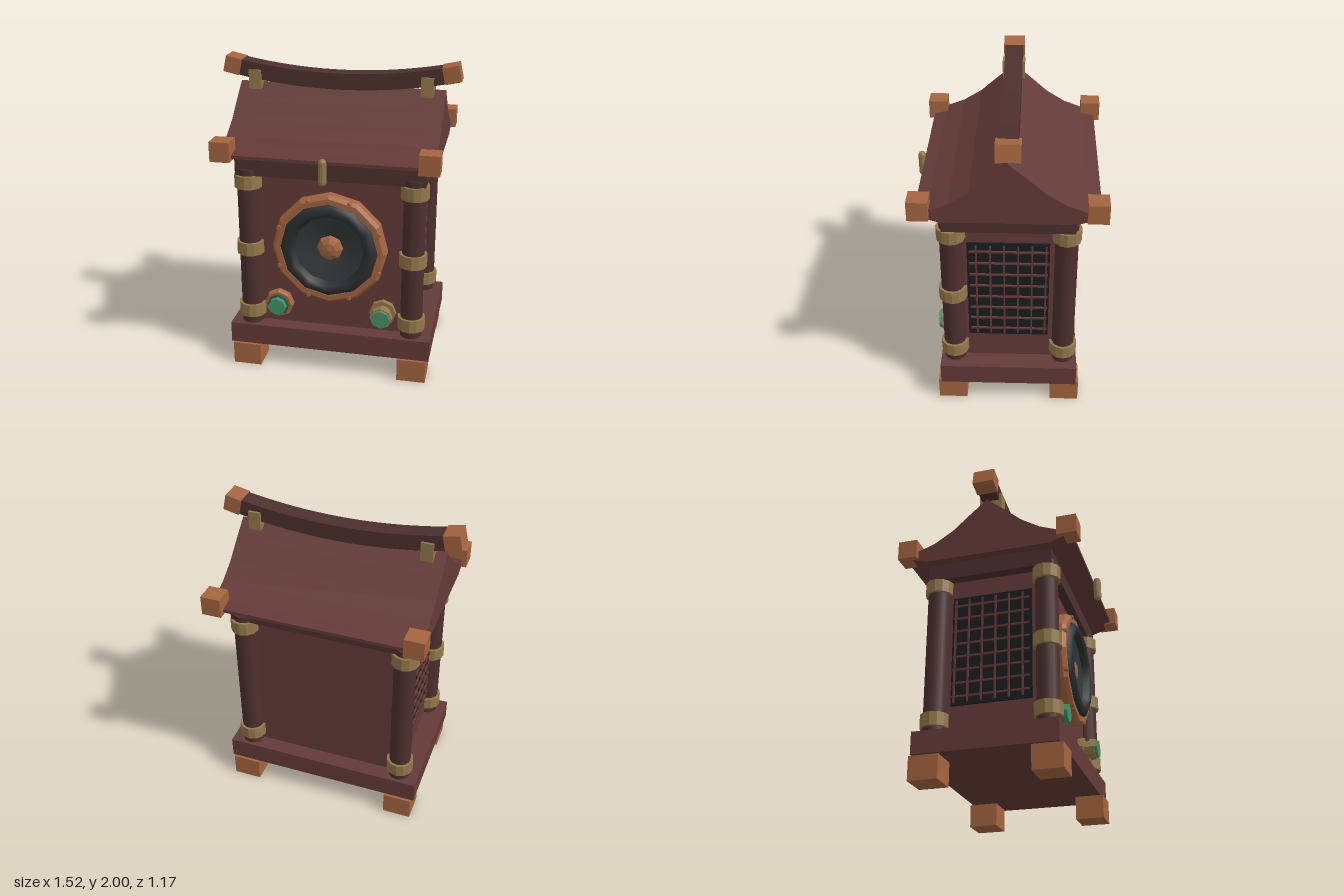
import * as THREE from 'three';

const mat = (color, flat = true) => new THREE.MeshStandardMaterial({ color, flatShading: flat });
const WOOD = mat(0x643b39), DARK = mat(0x4c302f), COPPER = mat(0xa5653f), GOLD = mat(0x94794a);
const BLACK = mat(0x1b1d1e), RUBBER = mat(0x2b2f31, false), CONE = mat(0x34393b, false);
const GREEN = mat(0x3f9468), DEEP_GREEN = mat(0x2b5c48);

export function createModel() {
  const root = new THREE.Group();
  root.name = 'shrineSpeaker';
  const body = new THREE.Group();
  body.name = 'cabinet';
  body.position.z = -0.006;
  root.add(body);

  const add = (name, geo, material, x = 0, y = 0, z = 0, parent = body) => {
    const m = new THREE.Mesh(geo, material);
    m.name = name;
    m.position.set(x, y, z);
    parent.add(m);
    return m;
  };
  const box = (name, w, h, d, material, x, y, z, parent) =>
    add(name, new THREE.BoxGeometry(w, h, d), material, x, y, z, parent);
  // disc facing +z, from depth z0 to z1 with front radius r1
  const disc = (name, r0, r1, z0, z1, sides, material, x, y, parent) => {
    const g = new THREE.CylinderGeometry(r1, r0, z1 - z0, sides).rotateX(Math.PI / 2);
    return add(name, g, material, x, y, (z0 + z1) / 2, parent);
  };
  // revolved profile facing +z
  const turned = (name, pts, sides, material, z, parent) => {
    const g = new THREE.LatheGeometry(pts.map(p => new THREE.Vector2(...p)), sides).rotateX(Math.PI / 2);
    return add(name, g, material, 0, 0, z, parent);
  };

  // Plinth, walls and top beam
  box('base', 1.32, 0.14, 0.885, WOOD, 0, 0.22, 0);
  box('walls', 1.06, 1.04, 0.68, WOOD, 0, 0.81, 0);
  box('topBeam', 1.2, 0.11, 0.8, DARK, 0, 1.375, 0);

  // Feet, columns with bands, and eave blocks at the four corners
  for (const sx of [-1, 1]) for (const sz of [-1, 1]) {
    box('foot', 0.185, 0.15, 0.185, COPPER, sx * 0.55, 0.075, sz * 0.368);
    add('column', new THREE.CylinderGeometry(0.071, 0.071, 1.07, 16), mat(0x4c302f, false), sx * 0.53, 0.825, sz * 0.351);
    for (const y of sz > 0 ? [0.383, 0.825, 1.278] : [0.383, 1.278])
      add('columnBand', new THREE.CylinderGeometry(0.089, 0.089, 0.085, 12), GOLD, sx * 0.53, y, sz * 0.351);
    box('eaveBlock', 0.125, 0.125, 0.125, COPPER, sx * 0.632, 1.522, sz * 0.52);
  }

  // Roof: flared gable profile run along x
  const half = [[0.115, 1.73], [0.225, 1.632], [0.345, 1.557], [0.47, 1.51], [0.545, 1.495], [0.545, 1.475], [0.4, 1.43]];
  const profile = [[0, 1.828], ...half, ...half.slice().reverse().map(([z, y]) => [-z, y])];
  const roofShape = new THREE.Shape(profile.map(([z, y]) => new THREE.Vector2(z, y)));
  const roofGeo = new THREE.ExtrudeGeometry(roofShape, { depth: 1.32, bevelEnabled: false });
  roofGeo.translate(0, 0, -0.66).rotateY(Math.PI / 2);
  add('roof', roofGeo, WOOD);

  // Sagging ridge beam with end blocks and clamps
  const sag = x => 1.862 + 0.151 * x * x;
  const ridgeGeo = new THREE.BoxGeometry(1.36, 0.102, 0.115, 20, 1, 1);
  const p = ridgeGeo.attributes.position;
  for (let i = 0; i < p.count; i++) p.setY(i, p.getY(i) + sag(p.getX(i)));
  ridgeGeo.computeVertexNormals();
  add('ridgeBeam', ridgeGeo, DARK);
  for (const s of [-1, 1]) {
    box('ridgeEndBlock', 0.104, 0.104, 0.137, COPPER, s * 0.697, 1.937, 0).rotation.z = s * 0.22;
    box('ridgeClamp', 0.078, 0.122, 0.147, GOLD, s * 0.55, 1.853, 0);
  }

  // Hanging pull at the front eave
  add('hangingPull', new THREE.CapsuleGeometry(0.025, 0.12, 4, 10), GOLD, 0, 1.435, 0.568);

  // Side lattices
  for (const s of [-1, 1]) {
    const grille = new THREE.Group();
    grille.name = 'sideGrille';
    body.add(grille);
    box('grillePanel', 0.02, 0.725, 0.508, BLACK, s * 0.53, 0.837, 0.003, grille);
    for (let i = 0; i < 6; i++)
      box('grilleUpright', 0.014, 0.69, 0.011, WOOD, s * 0.544, 0.837, 0.2 - i * 0.086, grille);
    for (let i = 0; i < 8; i++)
      box('grilleCrossbar', 0.014, 0.011, 0.485, WOOD, s * 0.544, 0.53 + i * 0.087, 0, grille);
  }

  // Round driver on the front
  const driver = new THREE.Group();
  driver.name = 'driver';
  driver.position.set(0, 0.86, 0.34);
  body.add(driver);
  turned('driverRim', [[0.37, -0.01], [0.37, 0.055], [0.35, 0.078], [0.315, 0.078], [0.315, -0.01]], 12, COPPER, 0, driver);
  turned('driverSurround', [[0.318, 0.06], [0.305, 0.09], [0.27, 0.11], [0.24, 0.095], [0.222, 0.055]], 12, RUBBER, 0, driver);
  turned('driverCone', [[0.225, 0.06], [0.07, 0.02]], 12, CONE, 0, driver);
  turned('dustCap', [[0.088, 0.015], [0.075, 0.05], [0.045, 0.068], [0, 0.075]], 8, COPPER, 0, driver);
  for (let i = 0; i < 8; i++) {
    const a = Math.PI / 8 + i * Math.PI / 4;
    disc('rimStud', 0.018, 0.015, 0.05, 0.084, 6, COPPER, 0.345 * Math.cos(a), 0.345 * Math.sin(a), driver);
  }

  // Indicator lamp on the right
  const lamp = new THREE.Group();
  lamp.name = 'lamp';
  lamp.position.set(-0.345, 0.43, 0.34);
  body.add(lamp);
  turned('lampBezel', [[0.097, -0.01], [0.097, 0.03], [0.088, 0.045], [0.07, 0.045], [0.07, -0.01]], 8, COPPER, 0, lamp);
  disc('lampCollar', 0.073, 0.073, -0.01, 0.06, 8, DEEP_GREEN, 0, 0, lamp);
  disc('lampLens', 0.06, 0.058, 0.05, 0.09, 8, GREEN, 0, 0, lamp);

  // Control knob on the left
  const knob = new THREE.Group();
  knob.name = 'knob';
  knob.position.set(0.345, 0.43, 0.34);
  body.add(knob);
  disc('knobFlange', 0.086, 0.086, -0.01, 0.035, 8, GOLD, 0, 0, knob);
  disc('knobStem', 0.06, 0.06, 0.03, 0.08, 8, GOLD, 0, 0, knob);
  disc('knobCollar', 0.074, 0.07, 0.075, 0.11, 8, GOLD, 0, 0, knob);
  disc('knobCap', 0.062, 0.06, 0.1, 0.127, 8, GREEN, 0, 0, knob);
  box('knobPointer', 0.01, 0.045, 0.01, COPPER, 0, 0.035, 0.126, knob);

  return root;
}
